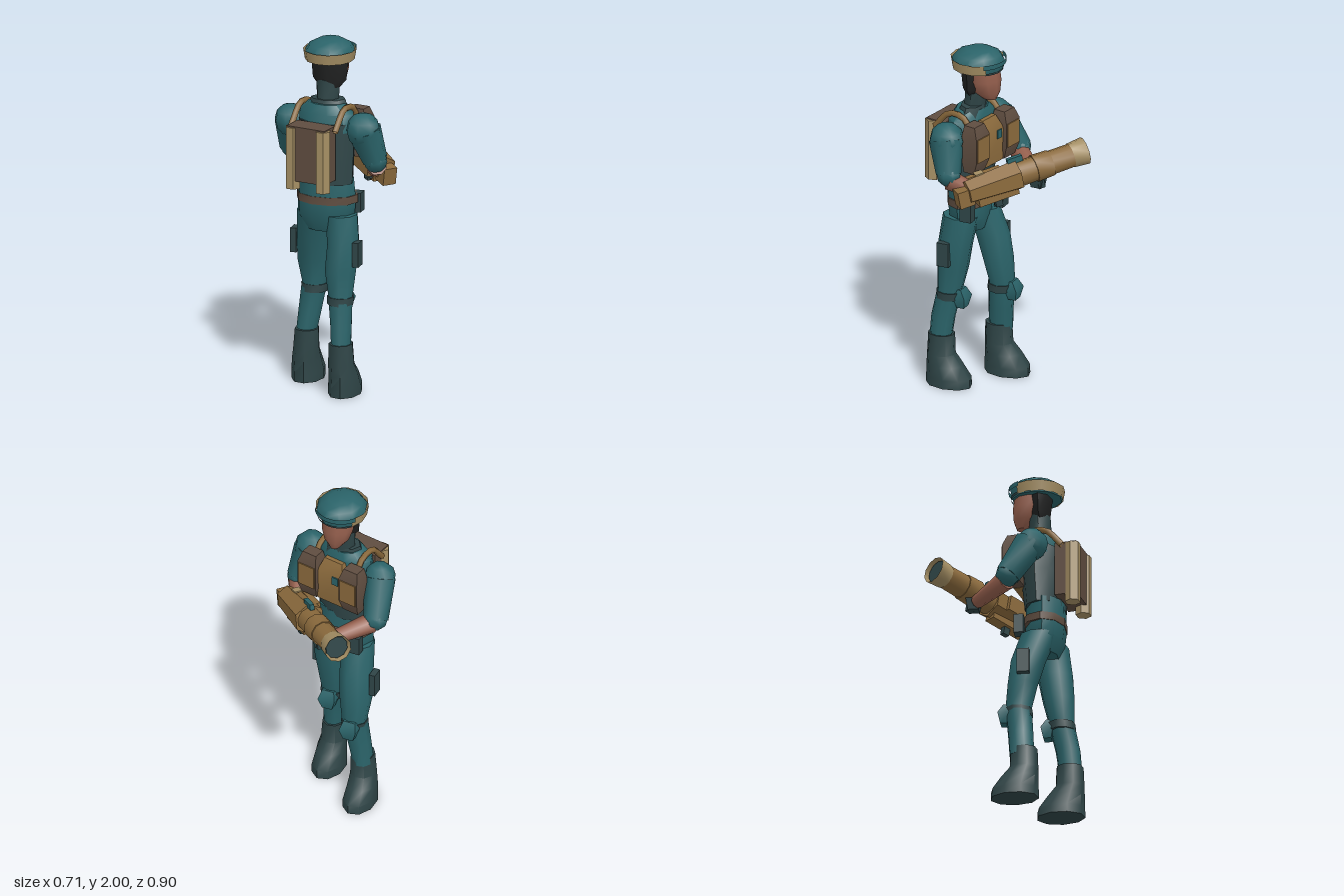
import * as THREE from 'three';
import { toCreasedNormals } from 'three/addons/utils/BufferGeometryUtils.js';

const mat = (name, color) => {
  const m = new THREE.MeshStandardMaterial({ color, side: THREE.DoubleSide });
  m.name = name;
  return m;
};

const V = (a) => new THREE.Vector3(...a);

// Closed skin over horizontal rings [x, y, z, radiusX, radiusZ], listed bottom to top
function loft(rings, n = 9, phase = 0) {
  const a = rings[0], b = rings[rings.length - 1];
  const all = [[a[0], a[1], a[2], 0, 0], ...rings, [b[0], b[1], b[2], 0, 0]];
  const pos = [], idx = [];
  all.forEach(([x, y, z, rx, rz]) => {
    for (let j = 0; j < n; j++) {
      const t = phase + (j / n) * Math.PI * 2;
      pos.push(x + rx * Math.cos(t), y, z + rz * Math.sin(t));
    }
  });
  for (let i = 0; i < all.length - 1; i++) {
    for (let j = 0; j < n; j++) {
      const p = i * n + j, q = i * n + (j + 1) % n;
      if (i > 0) idx.push(p, p + n, q);
      if (i < all.length - 2) idx.push(q, p + n, q + n);
      else if (i === 0) idx.push(q, p + n, q + n);
    }
  }
  const g = new THREE.BufferGeometry();
  g.setAttribute('position', new THREE.Float32BufferAttribute(pos, 3));
  g.setIndex(idx);
  return toCreasedNormals(g, 0.82);
}

// Four-sided tapered block from the same kind of rings (half sizes)
const block = (rings) =>
  loft(rings.map(([x, y, z, w, d]) => [x, y, z, w * Math.SQRT2, d * Math.SQRT2]), 4, Math.PI / 4);

// Tapered round limb between two points
function limb(a, b, ra, rb, n = 8) {
  const p = V(a), q = V(b), d = q.clone().sub(p);
  const g = new THREE.CylinderGeometry(rb, ra, d.length(), n);
  g.applyQuaternion(new THREE.Quaternion().setFromUnitVectors(new THREE.Vector3(0, 1, 0), d.normalize()));
  g.translate(...p.add(q).multiplyScalar(0.5).toArray());
  return toCreasedNormals(g, 0.82);
}

const box = (w, h, d, x, y, z) => new THREE.BoxGeometry(w, h, d).translate(x, y, z);
const ball = (r, x, y, z) => new THREE.SphereGeometry(r, 8, 6).translate(x, y, z);
// Tube section along z
const tube = (r0, r1, z0, z1, n = 10, open = false) => toCreasedNormals(
  new THREE.CylinderGeometry(r1, r0, z1 - z0, n, 1, open).rotateX(Math.PI / 2).translate(0, 0, (z0 + z1) / 2), 0.82);

export function createModel() {
  const M = {
    teal: mat('teal cloth', 0x2b646a),
    dark: mat('dark green leather', 0x2f4547),
    brown: mat('brown canvas', 0x5f4d40),
    gold: mat('ochre metal', 0x8c6b3d),
    beige: mat('beige', 0xa58f64),
    skin: mat('skin', 0x96604e),
    black: mat('black hair', 0x222323),
  };
  const model = new THREE.Group();
  const add = (name, geo, m, parent = model) => {
    const mesh = new THREE.Mesh(geo, m);
    mesh.name = name;
    parent.add(mesh);
    return mesh;
  };

  // Legs: ring table, boot centre, pouch side
  const legs = [
    { name: 'right', s: 1, x: 0.11, z: 0.265, knee: [0.085, 0.195], pouch: [0.18, 0.265], rings: [
      [0.105, 0.26, 0.32, 0.055, 0.065], [0.10, 0.40, 0.305, 0.06, 0.07], [0.085, 0.57, 0.27, 0.07, 0.072],
      [0.08, 0.70, 0.255, 0.088, 0.09], [0.09, 0.85, 0.235, 0.09, 0.10], [0.07, 1.02, 0.21, 0.09, 0.105]] },
    { name: 'left', s: -1, x: -0.18, z: 0.045, knee: [-0.14, -0.015], pouch: [-0.24, 0.1], rings: [
      [-0.18, 0.26, 0.085, 0.057, 0.07], [-0.16, 0.40, 0.075, 0.065, 0.072], [-0.137, 0.57, 0.06, 0.073, 0.075],
      [-0.135, 0.70, 0.08, 0.095, 0.085], [-0.125, 0.85, 0.11, 0.095, 0.10], [-0.105, 1.02, 0.17, 0.095, 0.105]] },
  ];
  for (const L of legs) {
    const { x, z } = L;
    add(L.name + 'Leg', loft(L.rings), M.teal);
    add(L.name + 'Boot', loft([
      [x, 0, z, 0.09, 0.137], [x, 0.05, z, 0.09, 0.135], [x, 0.12, z + 0.025, 0.082, 0.108],
      [x - L.s * 0.005, 0.18, z + 0.05, 0.074, 0.082], [x - L.s * 0.008, 0.30, z + 0.05, 0.067, 0.077]]), M.dark);
    add(L.name + 'KneePad', block([
      [L.knee[0], 0.47, L.knee[1], 0.03, 0.022], [L.knee[0], 0.53, L.knee[1], 0.05, 0.035],
      [L.knee[0], 0.58, L.knee[1] + 0.015, 0.035, 0.02]]), M.teal);
    const k = L.rings[2];
    add(L.name + 'KneeStrap', loft([[k[0], 0.515, k[2] + 0.005, 0.074, 0.077], [k[0], 0.56, k[2], 0.077, 0.079]]), M.dark);
    add(L.name + 'ThighPouch', box(0.035, 0.14, 0.07, L.pouch[0], 0.81, L.pouch[1]), M.dark);
  }

  // Hips, belt and belt pouches
  add('pelvis', loft([[-0.03, 0.92, 0.19, 0.10, 0.08], [-0.025, 1.0, 0.195, 0.165, 0.11],
    [-0.02, 1.1, 0.2, 0.17, 0.115], [-0.025, 1.23, 0.2, 0.163, 0.11]], 10), M.teal);
  add('belt', loft([[-0.02, 1.085, 0.19, 0.178, 0.128], [-0.02, 1.13, 0.19, 0.178, 0.128]], 10), M.brown);
  add('buckle', box(0.09, 0.045, 0.015, -0.03, 1.108, 0.066), M.gold);
  add('rightBeltPouch', box(0.055, 0.11, 0.07, 0.14, 1.075, 0.14), M.dark);
  add('leftBeltPouch', box(0.07, 0.11, 0.055, -0.14, 1.075, 0.065), M.dark);

  // Upper body, slightly twisted
  const torso = new THREE.Group();
  torso.name = 'torso';
  torso.position.set(-0.025, 0, 0.19);
  torso.rotation.y = -0.19;
  model.add(torso);
  add('vest', loft([[0, 1.2, 0.01, 0.168, 0.112], [0, 1.4, 0, 0.172, 0.122], [0, 1.55, 0, 0.17, 0.118]], 10), M.dark, torso);
  add('shoulders', loft([[0, 1.5, 0, 0.175, 0.11], [0, 1.6, 0, 0.17, 0.1], [0, 1.65, -0.005, 0.11, 0.08]], 10), M.teal, torso);
  add('chestPlate', block([[0, 1.33, -0.12, 0.085, 0.03], [0, 1.52, -0.125, 0.085, 0.035], [0, 1.6, -0.1, 0.06, 0.02]]), M.gold, torso);
  for (const s of [-1, 1]) {
    const x = s * 0.14;
    add('chestPouch', block([[x, 1.33, -0.12, 0.05, 0.035], [x, 1.4, -0.13, 0.062, 0.05],
      [x, 1.55, -0.13, 0.062, 0.05], [x, 1.61, -0.12, 0.045, 0.035]]), M.brown, torso);
    add('pouchFlap', box(0.105, 0.14, 0.008, x, 1.475, -0.182), M.gold, torso);
    // Strap curving from the chest over the shoulder to the pack
    const path = new THREE.CatmullRomCurve3([[x, 1.56, -0.1], [x, 1.63, -0.04], [x, 1.635, 0.05], [x, 1.53, 0.15]].map(V));
    add('shoulderStrap', new THREE.TubeGeometry(path, 8, 0.018, 5), M.gold, torso);
  }
  add('chestPatch', box(0.04, 0.05, 0.008, -0.04, 1.5, -0.161), M.teal, torso);

  // Backpack with two canisters
  add('backpack', box(0.24, 0.315, 0.125, -0.005, 1.395, 0.165), M.brown, torso);
  for (const x of [-0.1, 0.09]) {
    add('canister', loft([[x, 1.19, 0.2, 0.045, 0.045], [x, 1.545, 0.2, 0.045, 0.045]], 6), M.beige, torso);
  }

  // Arms
  add('leftShoulder', ball(0.092, -0.25, 1.515, 0.15), M.teal);
  add('leftSleeve', limb([-0.255, 1.52, 0.14], [-0.285, 1.32, 0.02], 0.088, 0.07), M.teal);
  add('leftElbow', ball(0.07, -0.282, 1.325, 0.022), M.teal);
  add('leftForearm', limb([-0.265, 1.3, 0.01], [-0.09, 1.255, -0.18], 0.058, 0.038), M.skin);
  add('leftHand', block([[-0.06, 1.215, -0.2, 0.03, 0.03], [-0.06, 1.28, -0.2, 0.045, 0.04]]), M.dark);
  add('rightShoulder', ball(0.1, 0.205, 1.52, 0.235), M.teal);
  add('rightSleeve', limb([0.21, 1.52, 0.235], [0.262, 1.34, 0.195], 0.097, 0.07), M.teal);
  add('rightElbow', ball(0.07, 0.262, 1.34, 0.195), M.teal);
  add('rightForearm', limb([0.268, 1.31, 0.19], [0.2, 1.235, 0.05], 0.058, 0.038), M.skin);
  add('rightHand', block([[0.18, 1.185, 0.02, 0.03, 0.03], [0.18, 1.25, 0.02, 0.035, 0.035]]), M.dark);

  // Neck and head
  add('collar', loft([[-0.02, 1.6, 0.185, 0.125, 0.085], [-0.02, 1.67, 0.175, 0.1, 0.065]], 8), M.dark);
  add('neck', loft([[-0.025, 1.66, 0.17, 0.064, 0.062], [-0.025, 1.78, 0.16, 0.07, 0.065]], 8), M.dark);
  add('face', loft([[-0.015, 1.715, 0.075, 0.03, 0.04], [-0.015, 1.76, 0.095, 0.07, 0.078],
    [-0.015, 1.83, 0.11, 0.092, 0.098], [-0.015, 1.91, 0.115, 0.092, 0.092]], 10), M.skin);
  add('hair', loft([[-0.015, 1.735, 0.175, 0.06, 0.035], [-0.015, 1.78, 0.168, 0.098, 0.055],
    [-0.015, 1.9, 0.165, 0.11, 0.072]], 8), M.black);

  // Helmet with band and raised goggle strip
  add('helmet', loft([[-0.02, 1.888, 0.15, 0.13, 0.14], [-0.02, 1.94, 0.148, 0.142, 0.15],
    [-0.02, 1.975, 0.145, 0.118, 0.125], [-0.02, 2.0, 0.14, 0.07, 0.075]], 10), M.teal);
  const arc = (r0, r1, h, start, len, y) =>
    new THREE.CylinderGeometry(r1, r0, h, 9, 1, true, start, len).scale(1, 1, 1.05).translate(-0.02, y, 0.15);
  add('helmetBand', arc(0.138, 0.148, 0.06, -2.3, 4.6, 1.92), M.beige);
  add('goggleStrip', arc(0.152, 0.152, 0.028, 2.2, 1.9, 1.942), M.teal);
  add('helmetRim', arc(0.137, 0.14, 0.014, 2.3, 1.7, 1.895), M.dark);

  // Launcher: local +z runs from the rear to the muzzle
  const gun = new THREE.Group();
  gun.name = 'launcher';
  gun.position.set(0.27, 1.26, 0.07);
  gun.lookAt(-0.25, 1.395, -0.4);
  model.add(gun);
  add('barrel', tube(0.074, 0.066, 0.2, 0.65), M.gold, gun);
  add('barrelRing', tube(0.078, 0.074, 0.4, 0.5), M.gold, gun);
  add('muzzle', tube(0.07, 0.078, 0.625, 0.712, 10, true), M.beige, gun);
  add('bore', tube(0.066, 0.066, 0.65, 0.69), M.dark, gun);
  add('receiver', tube(0.07, 0.092, -0.01, 0.3, 6), M.gold, gun);
  add('receiverKeel', box(0.07, 0.05, 0.24, 0, -0.075, 0.16), M.gold, gun);
  add('sidePlate', box(0.035, 0.09, 0.22, 0.08, 0, 0.12), M.gold, gun);
  add('receiverPatch', box(0.045, 0.008, 0.05, 0.02, 0.079, 0.085), M.beige, gun);
  add('sight', box(0.025, 0.035, 0.09, 0.005, 0.092, 0.3), M.teal, gun);
  add('foreGrip', box(0.035, 0.07, 0.04, 0, -0.09, 0.42), M.dark, gun);
  add('rearGrip', box(0.03, 0.06, 0.04, 0, -0.115, 0.16), M.dark, gun);
  add('stock', box(0.08, 0.1, 0.09, 0, -0.02, -0.03), M.gold, gun);

  return model;
}
